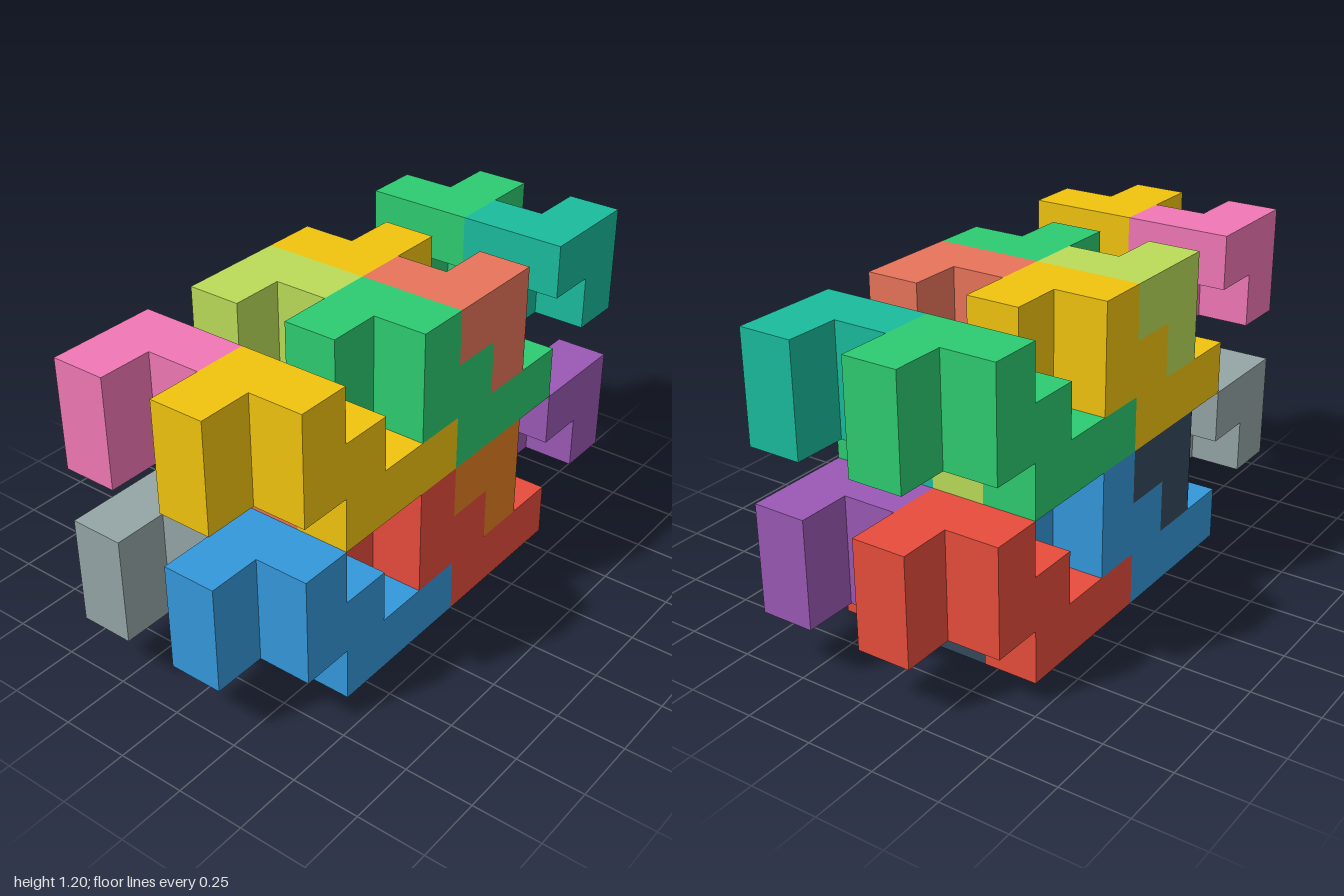
import * as THREE from 'three';
import { mergeGeometries } from 'three/addons/utils/BufferGeometryUtils.js';

const CELL = 0.2;

// One-cell-thick slab from a (z, y) outline in cells, its +x side at x = right
function slab(outline, right) {
  const shape = new THREE.Shape(outline.map(([z, y]) => new THREE.Vector2(z * CELL, y * CELL)));
  return new THREE.ExtrudeGeometry(shape, { depth: CELL, bevelEnabled: false })
    .rotateY(-Math.PI / 2)
    .translate(right, 0, 0);
}

// Every puzzle piece is the same nine-cube solid: a staircase with a hook beside it
function pieceGeometry() {
  const stair = [[0, 0], [3, 0], [3, 1], [4, 1], [4, 3], [3, 3], [3, 2], [2, 2], [2, 1], [0, 1]];
  const hook = [[4, 1], [5, 1], [5, 3], [3, 3], [3, 2], [4, 2]];
  return mergeGeometries([slab(stair, CELL), slab(hook, 0)]);
}

// Colours of each interlocked group of four: front, middle, turned middle, turned back
const blue = 0x3498db, red = 0xe74c3c, gold = 0xf1c40f, green = 0x2ecc71;
const groups = [
  { name: 'lowerLeft', x: 0.2, y: 0, colors: [blue, red, 0xe67e22, 0x9b59b6] },
  { name: 'lowerRight', x: -0.2, y: 0, colors: [0x95a5a6, 0x34495e, blue, red] },
  { name: 'upperLeft', x: 0.2, y: 0.6, colors: [gold, green, 0xe8745a, 0x1abc9c] },
  { name: 'upperRight', x: -0.2, y: 0.6, colors: [0xf178b6, 0xbadc58, gold, green] },
];

// Places of the four pieces in a group; turned ones face the back
const places = [
  { name: 'FrontPiece', z: 0, turn: 0 },
  { name: 'MiddlePiece', z: -0.6, turn: 0 },
  { name: 'TurnedMiddlePiece', z: 0.6, turn: Math.PI },
  { name: 'TurnedBackPiece', z: 0, turn: Math.PI },
];

export function createModel() {
  const model = new THREE.Group();
  model.name = 'interlockingBlocks';
  const geometry = pieceGeometry();
  for (const group of groups) {
    places.forEach((place, i) => {
      const material = new THREE.MeshStandardMaterial({ color: group.colors[i] });
      const piece = new THREE.Mesh(geometry, material);
      piece.name = group.name + place.name;
      piece.position.set(group.x, group.y, place.z);
      piece.rotation.y = place.turn;
      model.add(piece);
    });
  }
  return model;
}
